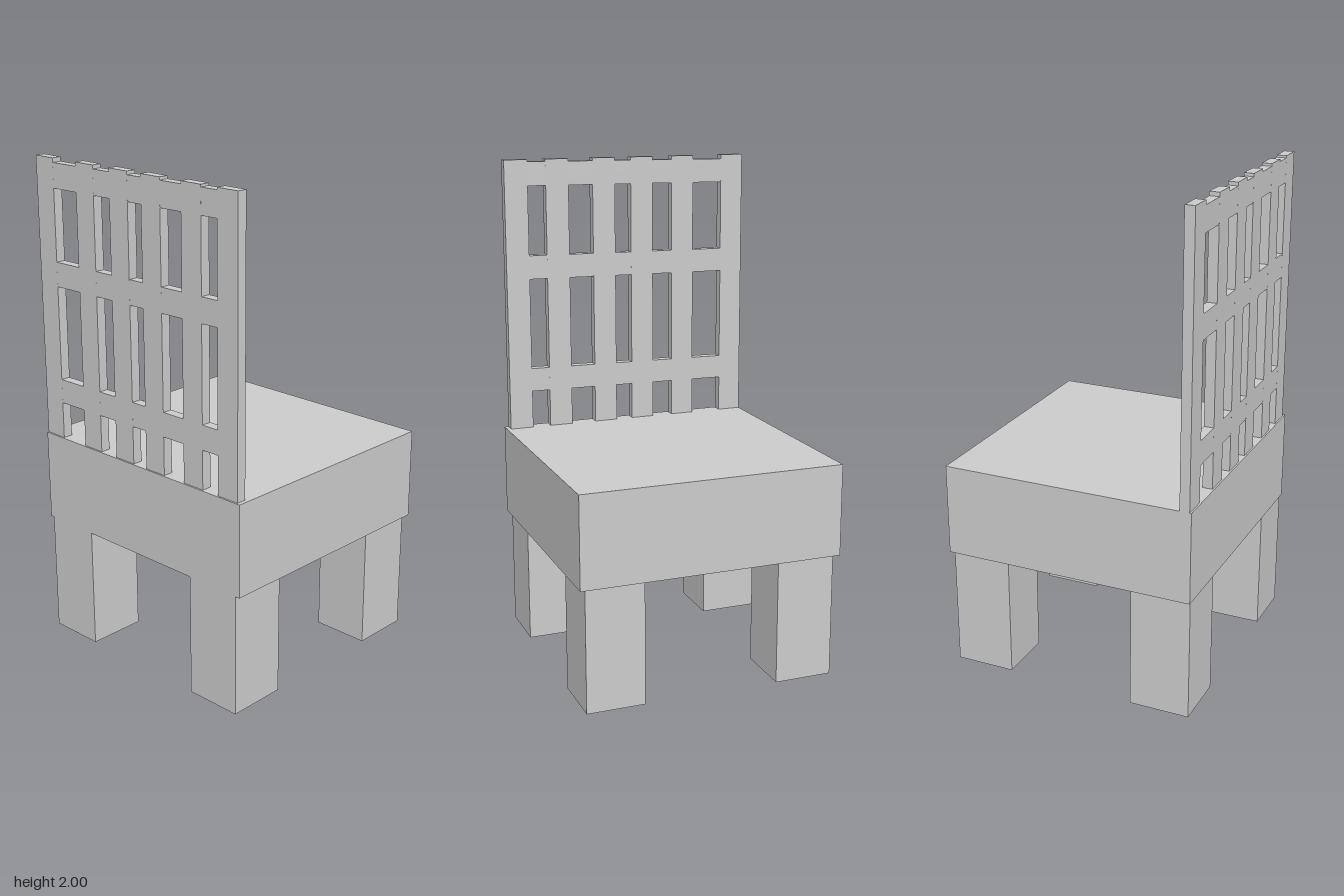
import * as THREE from 'three';

export function createModel() {
  const group = new THREE.Group();
  const material = new THREE.MeshStandardMaterial({ color: 0xcccccc, flatShading: true });

  // Box spanning the given ranges
  function box(name, [x0, x1], [y0, y1], [z0, z1]) {
    const mesh = new THREE.Mesh(new THREE.BoxGeometry(x1 - x0, y1 - y0, z1 - z0), material);
    mesh.position.set((x0 + x1) / 2, (y0 + y1) / 2, (z0 + z1) / 2);
    mesh.name = name;
    group.add(mesh);
    return mesh;
  }

  // Thick seat block
  const seatTop = 0.873, seatBottom = 0.5;
  box('seat', [-0.516, 0.516], [seatBottom, seatTop], [-0.537, 0.537]);

  // Four square legs, set slightly unevenly: [name, x start, z start]
  const legs = [
    ['frontLeftLeg', 0.259, 0.278],
    ['frontRightLeg', -0.513, 0.278],
    ['backLeftLeg', 0.267, -0.508],
    ['backRightLeg', -0.513, -0.524],
  ];
  for (const [name, x, z] of legs) {
    box(name, [x, x + 0.244], [0, seatBottom], [z, z + 0.237]);
  }

  // Backrest: upright slats along the -x edge of the seat
  const backX = [-0.509, -0.469];
  const slatCentres = [0.472, 0.297, 0.094, -0.075, -0.26, -0.488];
  slatCentres.forEach((z, i) => {
    box('backSlat' + (i + 1), backX, [seatTop, 2], [z - 0.049, z + 0.049]);
  });

  // Cross rails, dropping slightly towards -z and filling the gaps between slats
  for (const [name, y] of [['lowerRail', 1.075], ['middleRail', 1.553], ['topRail', 1.938]]) {
    const rail = box(name, backX, [y - 0.049, y + 0.049], [-0.48, 0.465]);
    rail.scale.x = 0.995;
    rail.rotation.x = -0.01;
  }
  return group;
}
